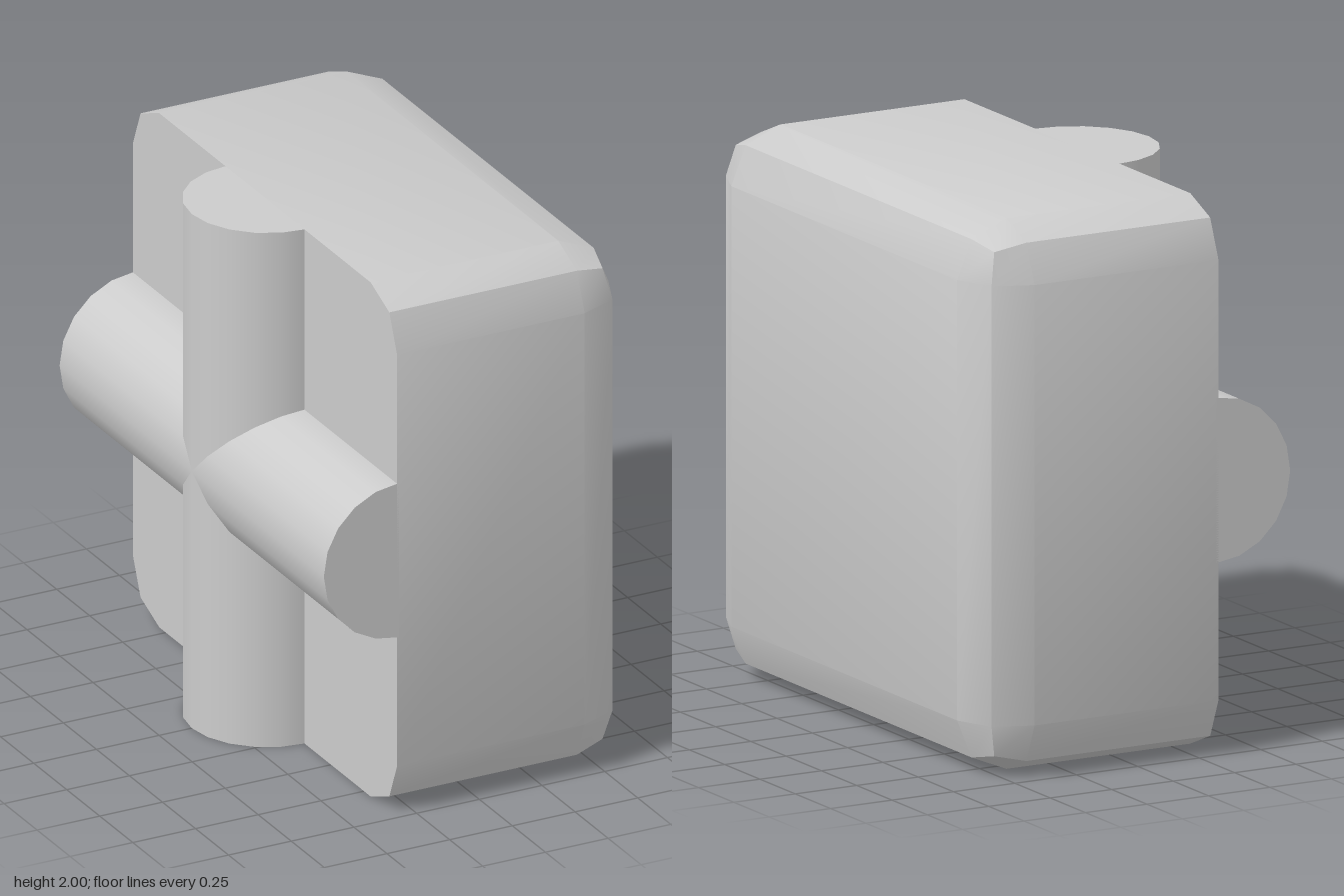
import * as THREE from 'three';
import { RoundedBoxGeometry } from 'three/addons/geometries/RoundedBoxGeometry.js';
import { toCreasedNormals } from 'three/addons/utils/BufferGeometryUtils.js';

const FRONT_X = 0.62; // bevelled face
const BACK_X = -0.328; // flat face carrying the ribs
const BEVEL = 0.2;
const RIB_RADIUS = 0.3;

// Block with two-step bevels, cut off flat at BACK_X
function blockGeometry() {
  const width = FRONT_X - BACK_X + BEVEL;
  const geometry = new RoundedBoxGeometry(width, 2, 2, 1, BEVEL);
  geometry.translate(FRONT_X - width / 2, 1, 0);
  const position = geometry.attributes.position;
  for (let i = 0; i < position.count; i++) {
    position.setX(i, Math.max(position.getX(i), BACK_X));
  }
  return toCreasedNormals(geometry, 0.5);
}

// Half-round rib running the full height, bulging towards -x
function ribGeometry() {
  return new THREE.CylinderGeometry(RIB_RADIUS, RIB_RADIUS, 2, 10, 1, false, Math.PI, Math.PI);
}

export function createModel() {
  const model = new THREE.Group();
  model.name = 'blockWithCrossRibs';
  const material = new THREE.MeshStandardMaterial({ color: 0xcccccc });

  const block = new THREE.Mesh(blockGeometry(), material);
  block.name = 'bevelledBlock';
  model.add(block);

  // Crossing ribs: one upright, one along z
  for (const [name, turn] of [['uprightRib', 0], ['levelRib', Math.PI / 2]]) {
    const rib = new THREE.Mesh(ribGeometry(), material);
    rib.name = name;
    rib.position.set(RIB_RADIUS - FRONT_X, 1, 0);
    rib.rotation.x = turn;
    model.add(rib);
  }
  return model;
}
